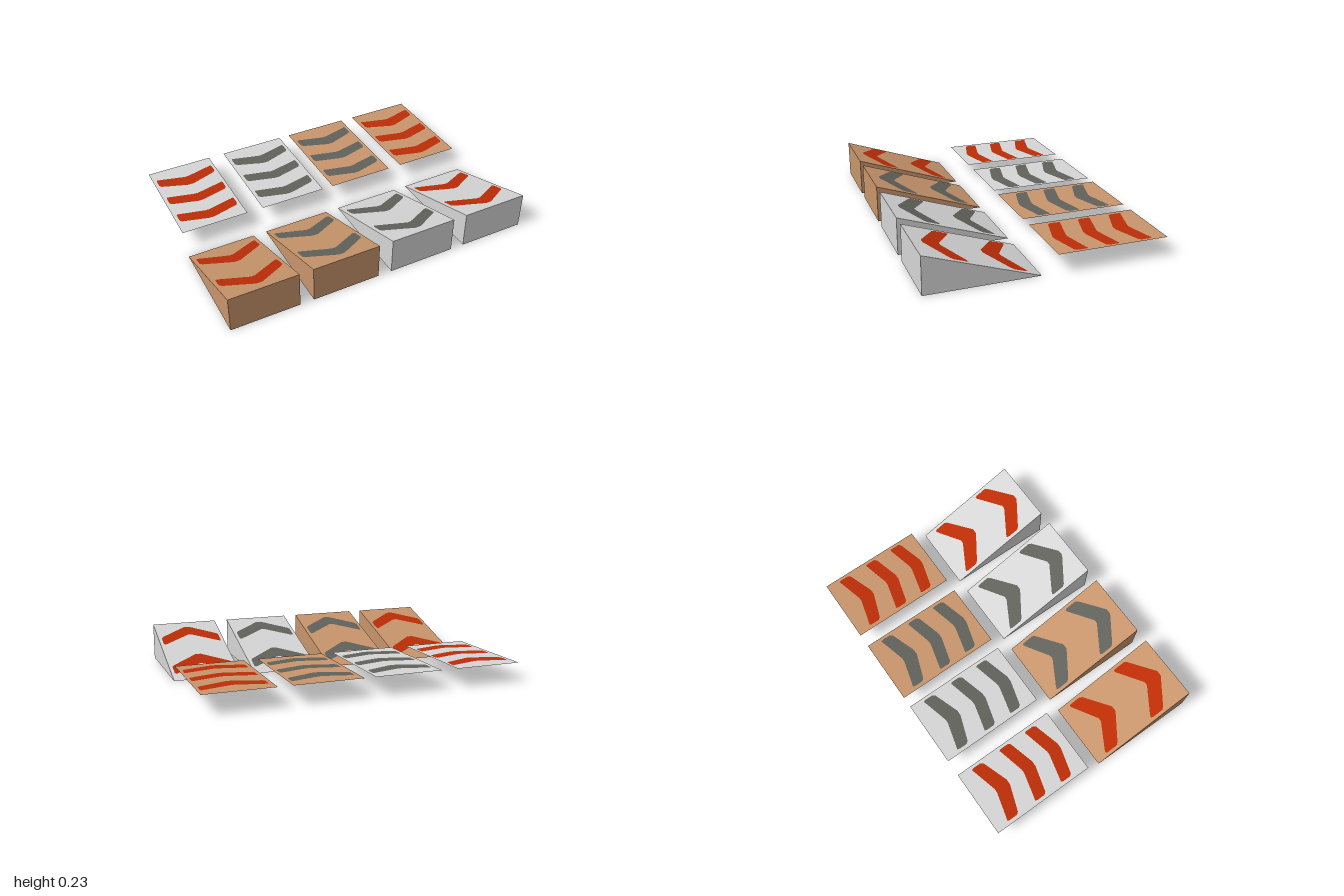
import * as THREE from 'three';

const material = (name, color, side = THREE.FrontSide) =>
  new THREE.MeshStandardMaterial({ name, color, side });

const W = 0.431, DEPTH = 0.685, HEIGHT = 0.235, NEAR = 0.045;

// Chevron outline in plan; shape y is -z. Ends have rounded corners, the tip is blunt.
function chevronPoints(cx, { armTop, armBottom, midTop, midBottom }) {
  const hw = 0.194, c = 0.012;
  const half = [
    [0.012, midTop], [hw - 0.02, armTop + 0.005], [hw - 0.006, armTop], [hw, armTop + c],
    [hw, armBottom - c], [hw - c, armBottom + 0.004], [0.018, midBottom],
  ];
  const mirrored = half.map(([x, z]) => [-x, z]).reverse();
  return [...half, ...mirrored].map(([x, z]) => new THREE.Vector2(cx + x, -z));
}

// Turn a plan shape level, raising it by a height rule y = rise(z)
function layFlat(shape, rise) {
  const g = new THREE.ShapeGeometry(shape);
  g.rotateX(-Math.PI / 2);
  const p = g.attributes.position;
  for (let i = 0; i < p.count; i++) p.setY(i, rise(p.getZ(i)));
  g.computeVertexNormals();
  return g;
}

function addMesh(parent, name, geometry, mat) {
  const mesh = new THREE.Mesh(geometry, mat);
  mesh.name = name;
  parent.add(mesh);
}

export function createModel() {
  const model = new THREE.Group();
  model.name = 'arrowPanelsAndRamps';

  const gray = material('lightGray', 0xd6d6d6, THREE.DoubleSide);
  const brown = material('tanBrown', 0xc8956c, THREE.DoubleSide);
  const red = material('arrowRed', 0xbc2d06, THREE.DoubleSide);
  const dark = material('arrowGray', 0x62625c, THREE.DoubleSide);

  // Wedge ramps, tall at the front, with two arrows on the slope
  const rampArrows = [
    { armTop: 0.118, armBottom: 0.21, midTop: 0.213, midBottom: 0.321 },
    { armTop: 0.462, armBottom: 0.555, midTop: 0.565, midBottom: 0.665 },
  ];
  const slope = (z) => ((z - NEAR) / DEPTH) * HEIGHT + 0.002;
  const ramps = [[-1, brown, red], [-0.482, brown, dark], [0.038, gray, dark], [0.559, gray, red]];
  for (const [x, base, paint] of ramps) {
    const ramp = new THREE.Group();
    ramp.name = 'ramp';
    const side = new THREE.Shape([
      new THREE.Vector2(NEAR, 0),
      new THREE.Vector2(NEAR + DEPTH, 0),
      new THREE.Vector2(NEAR + DEPTH, HEIGHT),
    ]);
    const wedge = new THREE.ExtrudeGeometry(side, { depth: W, bevelEnabled: false });
    wedge.rotateY(-Math.PI / 2).translate(x + W, 0, 0);
    addMesh(ramp, 'rampBody', wedge, base);
    for (const a of rampArrows) {
      const shape = new THREE.Shape(chevronPoints(x + W / 2, a));
      addMesh(ramp, 'rampArrow', layFlat(shape, slope), paint);
    }
    model.add(ramp);
  }

  // Level panels at half the ramp height, with three inlaid arrows that show on both faces
  const panelArrows = [
    { armTop: -0.645, armBottom: -0.565, midTop: -0.597, midBottom: -0.503 },
    { armTop: -0.436, armBottom: -0.357, midTop: -0.391, midBottom: -0.308 },
    { armTop: -0.239, armBottom: -0.161, midTop: -0.195, midBottom: -0.112 },
  ];
  const level = () => HEIGHT / 2;
  const panels = [[-0.994, gray, red], [-0.456, gray, dark], [0.047, brown, dark], [0.569, brown, red]];
  for (const [x, base, paint] of panels) {
    const panel = new THREE.Group();
    panel.name = 'panel';
    const z0 = -0.733, z1 = -0.048;
    const outline = new THREE.Shape([
      new THREE.Vector2(x, -z1),
      new THREE.Vector2(x + W, -z1),
      new THREE.Vector2(x + W, -z0),
      new THREE.Vector2(x, -z0),
    ]);
    for (const a of panelArrows) {
      const points = chevronPoints(x + W / 2 + 0.002, a);
      outline.holes.push(new THREE.Path(points));
      addMesh(panel, 'panelArrow', layFlat(new THREE.Shape(points), level), paint);
    }
    addMesh(panel, 'panelSheet', layFlat(outline, level), base);
    model.add(panel);
  }

  return model;
}
